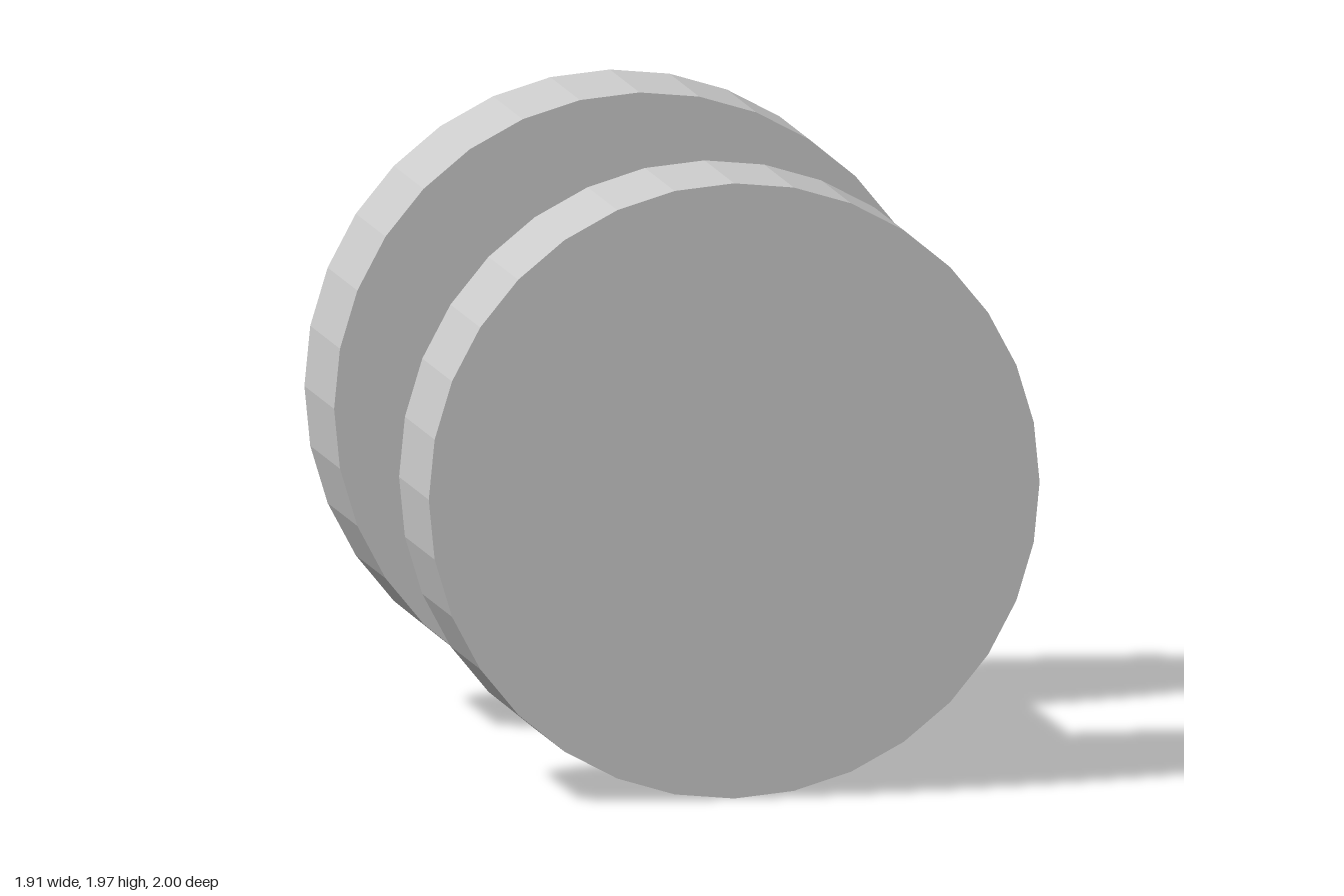
import * as THREE from 'three';

export function createModel() {
  const group = new THREE.Group();
  const material = new THREE.MeshStandardMaterial({ color: 0xcccccc, flatShading: true });

  // 32-sided cylinder lying along z, between zBack and zFront
  function addCylinder(name, radius, y, zBack, zFront) {
    const geometry = new THREE.CylinderGeometry(radius, radius, zFront - zBack, 32);
    geometry.rotateX(Math.PI / 2);
    const mesh = new THREE.Mesh(geometry, material);
    mesh.name = name;
    mesh.position.set(0, y, (zBack + zFront) / 2);
    group.add(mesh);
  }

  // two end discs, the back one set slightly higher
  addCylinder('frontDisc', 0.955, 0.957, 0.522, 1);
  addCylinder('backDisc', 0.955, 1.012, -1, -0.522);

  // shaft joining the discs
  addCylinder('shaft', 0.382, 1.018, -0.53, 0.53);

  return group;
}
